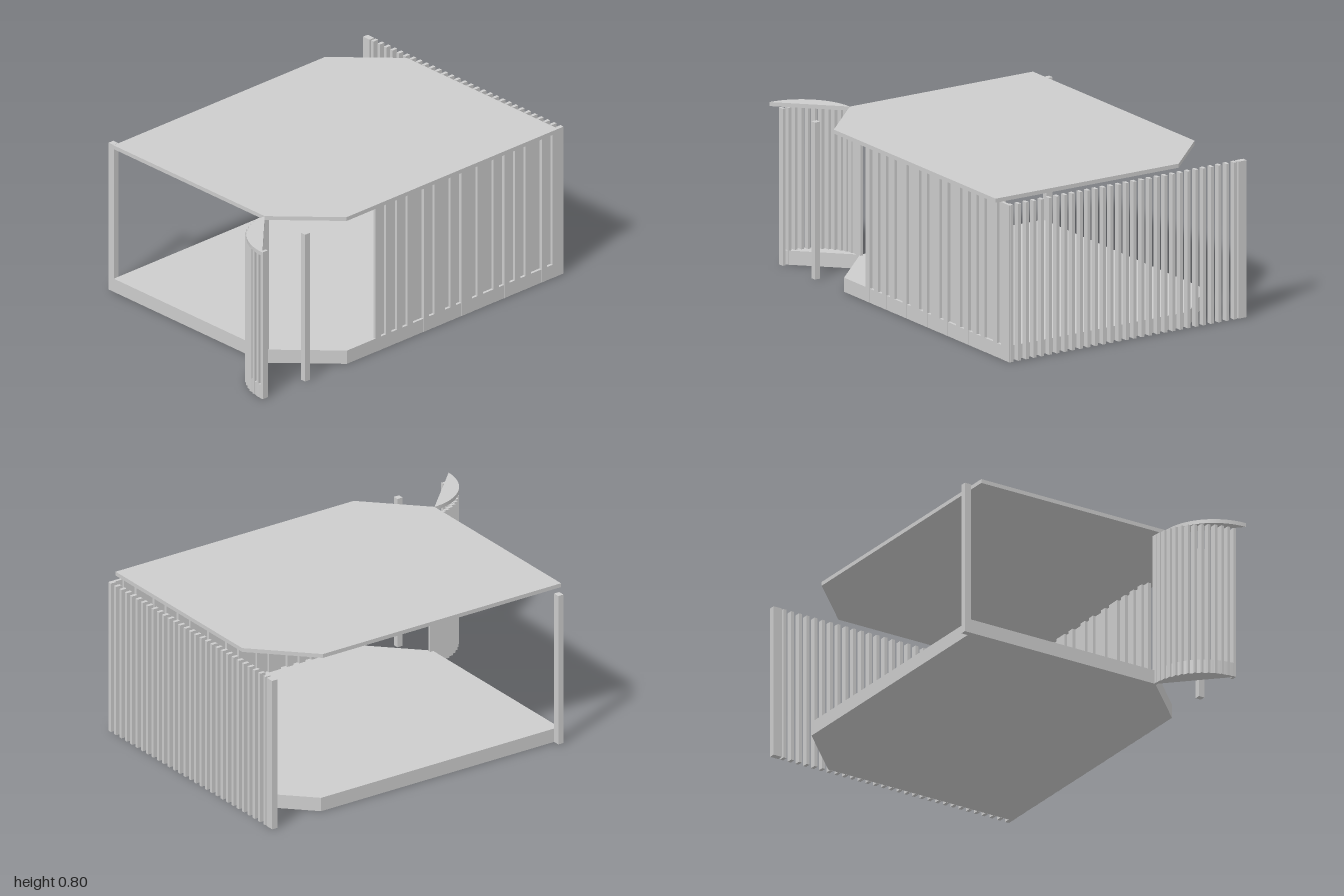
import * as THREE from 'three';

const grey = new THREE.MeshStandardMaterial({ color: 0xcccccc });
grey.name = 'plainGrey';

export function createModel() {
  const model = new THREE.Group();
  model.name = 'pavilion';

  const box = (name, x0, x1, y0, y1, z0, z1, parent = model) => {
    const mesh = new THREE.Mesh(new THREE.BoxGeometry(x1 - x0, y1 - y0, z1 - z0), grey);
    mesh.position.set((x0 + x1) / 2, (y0 + y1) / 2, (z0 + z1) / 2);
    mesh.name = name;
    parent.add(mesh);
  };
  const group = (name) => {
    const g = new THREE.Group();
    g.name = name;
    model.add(g);
    return g;
  };
  // Horizontal plate from a plan outline (shape y is -z)
  const plate = (name, shape, y0, y1) => {
    const geo = new THREE.ExtrudeGeometry(shape, { depth: y1 - y0, bevelEnabled: false, curveSegments: 16 });
    geo.rotateX(-Math.PI / 2);
    const mesh = new THREE.Mesh(geo, grey);
    mesh.position.y = y0;
    mesh.name = name;
    model.add(mesh);
  };

  // Chamfered floor and roof, each with a bow-shaped plate at the front corner
  const outline = [[-0.69, -0.665], [0.69, -0.665], [0.965, -0.39], [0.965, 0.655], [-0.415, 0.655], [-0.69, 0.38]];
  const slab = (name, dx, dz, y0, y1) => {
    plate(name, new THREE.Shape(outline.map(([x, z]) => new THREE.Vector2(x + dx, -z - dz))), y0, y1);
    const bow = new THREE.Shape();
    bow.absarc(-0.69 + dx, -0.655 - dz, 0.275, Math.PI, Math.PI / 2, true);
    bow.closePath();
    plate(name + 'Bow', bow, y0, y1);
  };
  slab('floor', 0, 0, 0, 0.07);
  slab('roof', -0.035, 0.035, 0.78, 0.8);

  const H = 0.777;

  // Corner posts
  box('backRightPost', -0.69, -0.66, 0, H, -0.7, -0.665);
  box('frontRightPost', -0.69, -0.66, 0, H, 0.628, 0.658);
  box('backLeftPost', 0.967, 0.997, 0, H, -0.698, -0.652);

  // Open screen of slats on the left side
  const screen = group('sideScreen');
  for (let i = 0; i < 30; i++) {
    const z = -0.634 + i * 0.044;
    box('sideSlat', 0.967, 0.997, 0, H, z - 0.0085, z + 0.0085, screen);
  }

  // Front wall of boards, alternately proud and set back
  const wall = group('frontWall');
  const steps = [0, 1, 2, 3, 4, 5, 6, 7, 9, 10, 11, 13, 14, 15, 16, 18, 19, 20, 22, 23, 24, 25, 26, 27, 28, 29, 31, 32, 33, 35];
  for (let i = 0; i < steps.length - 1; i++) {
    const z = i % 2 ? 0.641 : 0.656;
    box('frontBoard', -0.23 + steps[i] * 0.035, -0.23 + steps[i + 1] * 0.035, 0, H, z - 0.015, z, wall);
  }

  // Curved screen of slats under the bow
  const curve = group('curvedScreen');
  const n = 14;
  for (let i = 0; i < n; i++) {
    const a = (i / (n - 1)) * Math.PI / 2;
    const x = -0.688 - 0.262 * Math.cos(a), z = 0.65 - 0.268 * Math.sin(a);
    box('curvedSlat', x - 0.016, x + 0.016, 0, H, z - 0.0075, z + 0.0075, curve);
  }
  return model;
}
